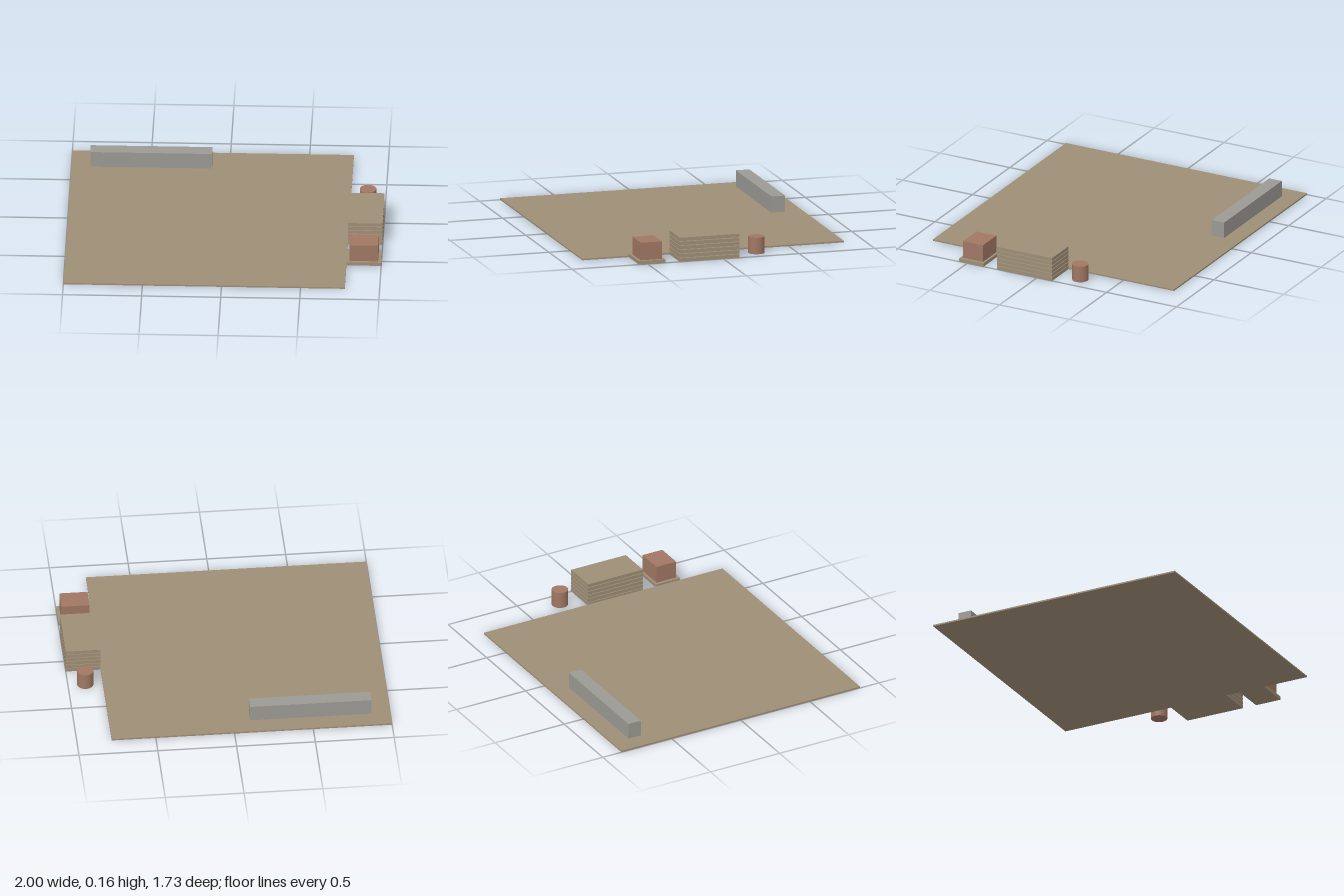
import * as THREE from 'three';

export function createModel() {
  const group = new THREE.Group();
  group.name = 'storageYard';

  const mat = (name, color) => {
    const m = new THREE.MeshStandardMaterial({ color });
    m.name = name;
    return m;
  };
  const tan = mat('tan', 0x9e8e76);
  const grey = mat('grey', 0x9b9993);
  const rust = mat('rust', 0xa07763);

  // Box given by its limits on each axis
  const box = (name, material, [x0, x1], [y0, y1], [z0, z1]) => {
    const mesh = new THREE.Mesh(new THREE.BoxGeometry(x1 - x0, y1 - y0, z1 - z0), material);
    mesh.position.set((x0 + x1) / 2, (y0 + y1) / 2, (z0 + z1) / 2);
    mesh.name = name;
    group.add(mesh);
  };

  // Ground slab and the low wall along its back
  box('groundSlab', tan, [-1, 0.78], [0, 0.01], [-0.864, 0.864]);
  box('backWall', grey, [-0.88, -0.11], [0.002, 0.115], [-0.747, -0.657]);

  // Stack of boards with narrow gaps between them
  const layers = 6, pitch = 0.0267, thickness = 0.0225;
  for (let i = 0; i < layers; i++) {
    const y = i * pitch;
    box('stackBoard', tan, [0.78, 1], [y, y + thickness], [-0.108, 0.288]);
  }

  // Crate on its pallet
  box('pallet', tan, [0.78, 1], [0, thickness], [0.383, 0.558]);
  box('crate', rust, [0.8, 0.98], [thickness, 0.136], [0.398, 0.54]);

  // Barrel
  const barrel = new THREE.Mesh(new THREE.CylinderGeometry(0.052, 0.052, 0.107, 32), rust);
  barrel.position.set(0.89, 0.0535, -0.252);
  barrel.name = 'barrel';
  group.add(barrel);

  return group;
}
